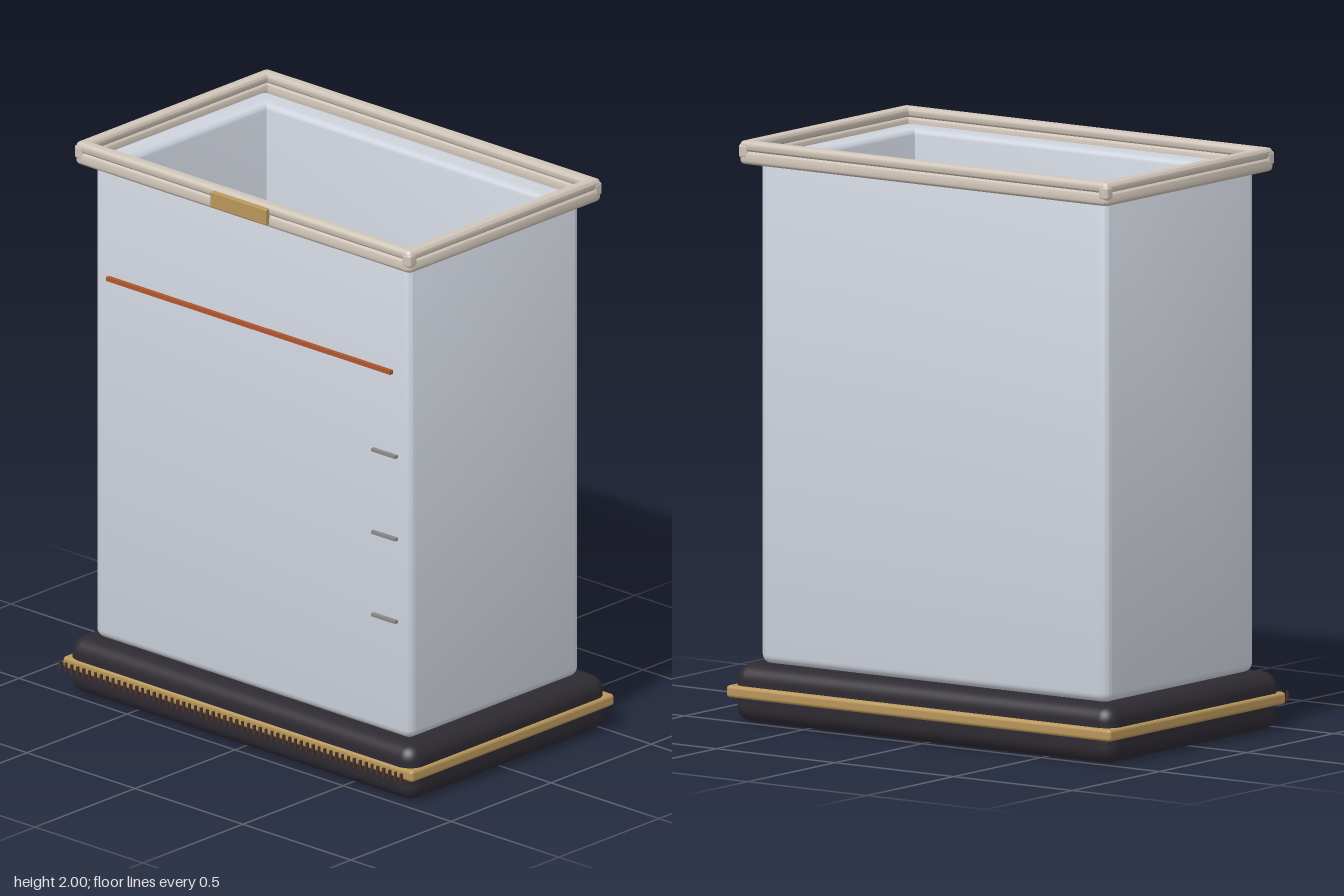
import * as THREE from 'three';
import { RoundedBoxGeometry } from 'three/addons/geometries/RoundedBoxGeometry.js';
import { toCreasedNormals } from 'three/addons/utils/BufferGeometryUtils.js';

const CZ = -0.013; // depth centre of the body; the front trim reaches further out
const material = (color, roughness = 0.6) => new THREE.MeshStandardMaterial({ color, roughness });
const mats = {
  body: material(0xcdd2dc),
  base: material(0x2d2a31),
  brass: material(0xb8965a),
  rim: material(0xcfc4b8),
  line: material(0xb0562f),
  mark: material(0x8c8a88),
  stud: material(0x4a3328),
};

function add(parent, name, geometry, mat, x = 0, y = 0, z = 0) {
  const mesh = new THREE.Mesh(geometry, mat);
  mesh.name = name;
  mesh.position.set(x, y, z);
  parent.add(mesh);
  return mesh;
}

// Rectangle outline with slightly rounded corners
function roundedRect(path, hw, hd, r) {
  path.moveTo(hw, -hd + r);
  path.lineTo(hw, hd - r);
  path.absarc(hw - r, hd - r, r, 0, Math.PI / 2, false);
  path.lineTo(-hw + r, hd);
  path.absarc(-hw + r, hd - r, r, Math.PI / 2, Math.PI, false);
  path.lineTo(-hw, -hd + r);
  path.absarc(-hw + r, -hd + r, r, Math.PI, Math.PI * 1.5, false);
  path.lineTo(hw - r, -hd);
  path.absarc(hw - r, -hd + r, r, Math.PI * 1.5, Math.PI * 2, false);
  return path;
}

// Hollow rectangular frame with softened edges, standing from y0 to y1
function frame(hw, hd, wall, y0, y1, bevel) {
  const shape = roundedRect(new THREE.Shape(), hw - bevel, hd - bevel, 0.006);
  const iw = hw - wall + bevel, id = hd - wall + bevel;
  const hole = new THREE.Path();
  hole.moveTo(-iw, -id);
  hole.lineTo(-iw, id);
  hole.lineTo(iw, id);
  hole.lineTo(iw, -id);
  hole.closePath();
  shape.holes.push(hole);
  const geometry = new THREE.ExtrudeGeometry(shape, {
    depth: y1 - y0 - 2 * bevel, bevelEnabled: true, bevelSize: bevel,
    bevelThickness: bevel, bevelSegments: 5, curveSegments: 4,
  });
  geometry.rotateX(-Math.PI / 2);
  geometry.translate(0, y0 + bevel, 0);
  return toCreasedNormals(geometry, 0.7);
}

export function createModel() {
  const model = new THREE.Group();
  model.name = 'rectangularContainer';

  // Heavy cushion-edged plinth
  add(model, 'base', new RoundedBoxGeometry(1.6, 0.2, 0.99, 6, 0.055), mats.base, 0, 0.1, CZ);

  // Brass band: four rounded rails around the plinth
  const band = new THREE.Group();
  band.name = 'baseBand';
  model.add(band);
  for (const s of [-1, 1]) {
    add(band, 'bandLongRail', new RoundedBoxGeometry(1.62, 0.042, 0.036, 3, 0.012),
      mats.brass, 0, 0.106, -0.018 + s * 0.489);
    add(band, 'bandShortRail', new RoundedBoxGeometry(0.036, 0.042, 1.014, 3, 0.012),
      mats.brass, s * 0.792, 0.106, -0.018);
  }

  // Row of small pins in front of the band
  const pins = new THREE.Group();
  pins.name = 'bandPins';
  model.add(pins);
  const pinGeometry = new THREE.BoxGeometry(0.008, 0.034, 0.008);
  const count = 59;
  for (let i = 0; i < count; i++) {
    add(pins, 'pin', pinGeometry, mats.stud, -0.79 + (1.58 * i) / (count - 1), 0.107, 0.521);
  }

  // Thick-walled open body and its floor
  add(model, 'bodyWalls', frame(0.733, 0.429, 0.108, 0.2, 1.95, 0.03), mats.body, 0, 0, CZ + 0.002);
  add(model, 'bodyFloor', new THREE.BoxGeometry(1.3, 0.1, 0.68), mats.body, 0, 0.255, CZ);

  // Two-layer rim with a fine seam between the layers
  add(model, 'rimLower', frame(0.777, 0.481, 0.046, 1.92, 1.966, 0.014), mats.rim, 0, 0, CZ - 0.003);
  add(model, 'rimUpper', frame(0.777, 0.481, 0.046, 1.964, 2.0, 0.014), mats.rim, 0, 0, CZ - 0.003);

  // Corner caps on the rim
  for (const sx of [-1, 1]) {
    for (const sz of [-1, 1]) {
      add(model, 'rimCornerCap', new RoundedBoxGeometry(0.04, 0.05, 0.04, 3, 0.012),
        mats.rim, sx * 0.759, 1.965, CZ - 0.003 + sz * 0.463);
    }
  }

  // Blank brass plate on the front of the rim
  add(model, 'frontPlate', new RoundedBoxGeometry(0.258, 0.057, 0.02, 2, 0.004),
    mats.brass, -0.003, 1.962, 0.471);

  // Fill line and level marks on the front wall
  add(model, 'fillLine', new THREE.BoxGeometry(1.315, 0.015, 0.016), mats.line, -0.002, 1.522, 0.424);
  for (const y of [0.62, 0.92, 1.22]) {
    add(model, 'levelMark', new THREE.BoxGeometry(0.112, 0.011, 0.016), mats.mark, 0.622, y, 0.424);
  }

  return model;
}
